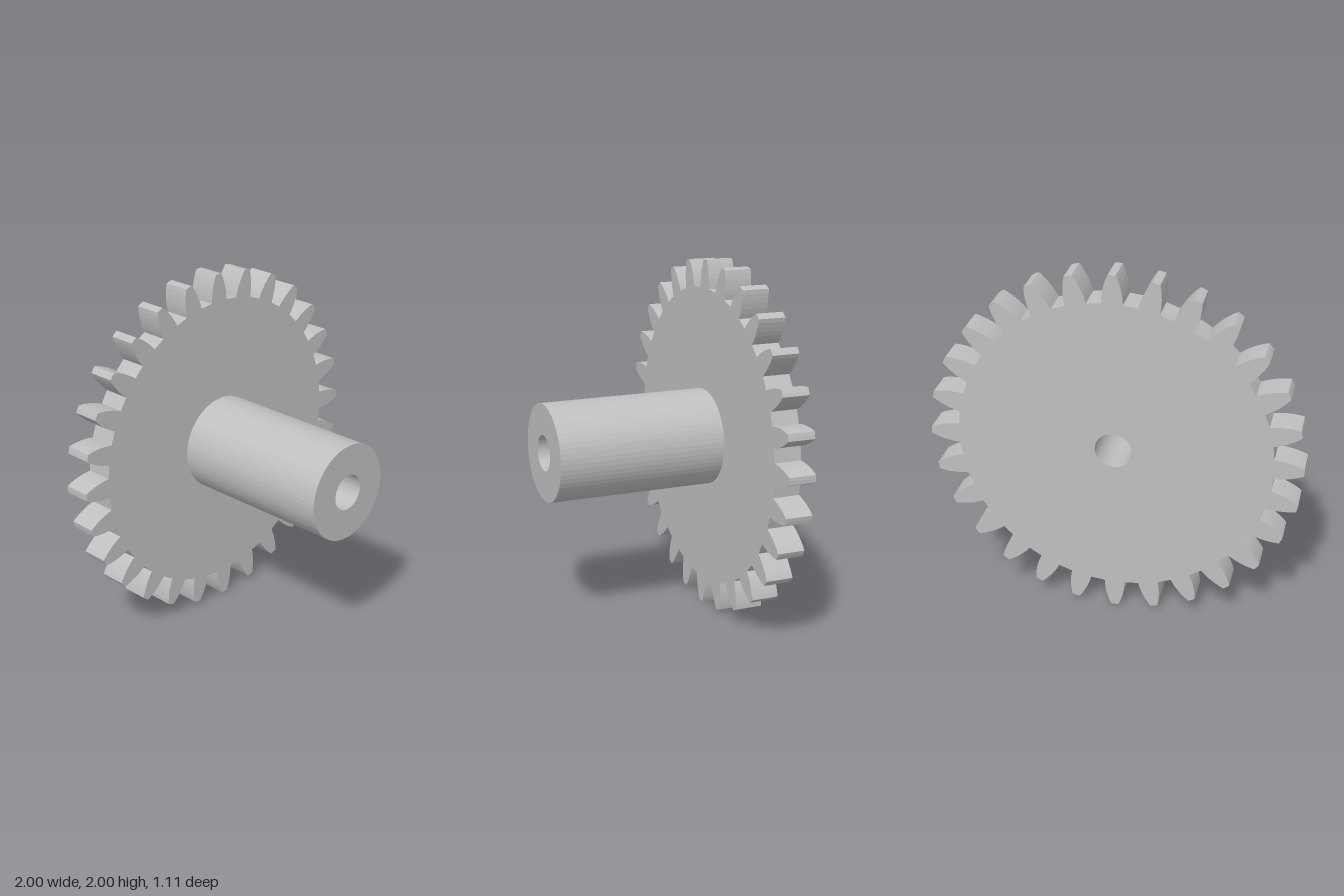
import * as THREE from 'three';

const TEETH = 28;
const BORE = 0.1;
const HUB_RADIUS = 0.272;
const BACK = -0.555, FACE = -0.4, FRONT = 0.555;

// tooth flank: [half width, distance from the axle], root to tip
const FLANK = [[0.056, 0.843], [0.0545, 0.872], [0.051, 0.9], [0.0455, 0.926], [0.0385, 0.952], [0.03, 0.977], [0.02, 0.999]];

// shape with the axle hole, extruded from z0 to z1
function extrude(name, points, z0, z1, material) {
  const shape = new THREE.Shape(points);
  shape.holes.push(new THREE.Path(circle(BORE, 48)));
  const geometry = new THREE.ExtrudeGeometry(shape, { depth: z1 - z0, bevelEnabled: false });
  const mesh = new THREE.Mesh(geometry, material);
  mesh.name = name;
  mesh.position.set(0, 1, z0);
  return mesh;
}

function circle(radius, segments) {
  return Array.from({ length: segments }, (_, i) => {
    const a = (i / segments) * Math.PI * 2;
    return new THREE.Vector2(radius * Math.cos(a), radius * Math.sin(a));
  });
}

// counter-clockwise outline: up one flank, across the tip, down the other
function gearOutline() {
  const centre = new THREE.Vector2();
  const tooth = [
    ...FLANK.map(([w, r]) => [r, -w]),
    [1, 0],
    ...FLANK.map(([w, r]) => [r, w]).reverse(),
  ];
  const points = [];
  for (let i = 0; i < TEETH; i++) {
    const angle = (i / TEETH) * Math.PI * 2;
    for (const [x, y] of tooth) points.push(new THREE.Vector2(x, y).rotateAround(centre, angle));
  }
  return points;
}

export function createModel() {
  const model = new THREE.Group();
  model.name = 'spurGear';
  const grey = new THREE.MeshStandardMaterial({ color: 0xbfbfbf });
  grey.name = 'light grey';

  model.add(extrude('toothedWheel', gearOutline(), BACK, FACE, grey));
  model.add(extrude('hub', circle(HUB_RADIUS, 60), FACE, FRONT, grey));
  return model;
}
